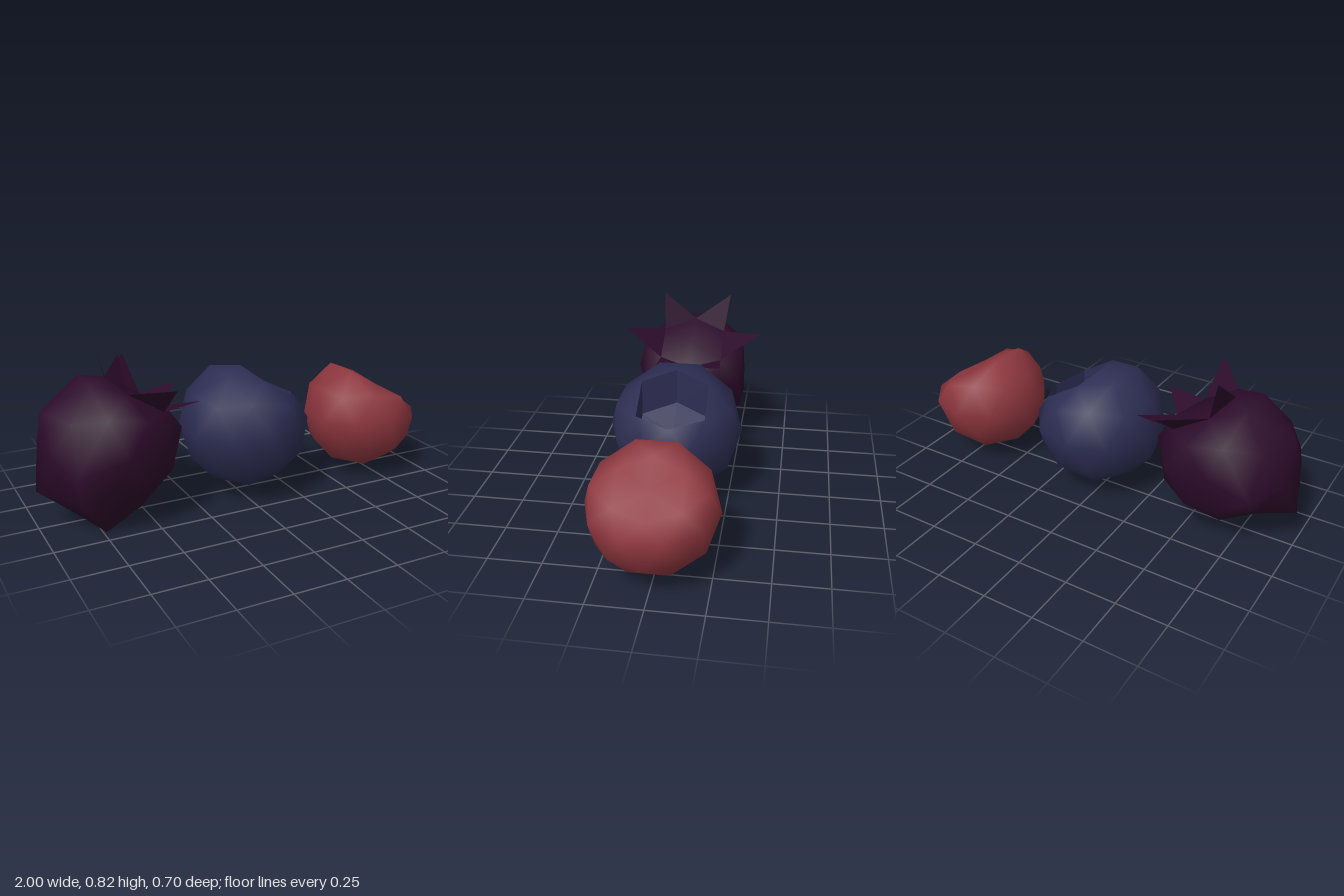
import * as THREE from 'three';
import { mergeVertices } from 'three/addons/utils/BufferGeometryUtils.js';

const RAD = Math.PI / 180;
// unit direction from azimuth (from +x towards +z) and elevation
const dir = (az, el) => new THREE.Vector3(
  Math.cos(az * RAD) * Math.cos(el * RAD), Math.sin(el * RAD), Math.sin(az * RAD) * Math.cos(el * RAD));

// the tilted crown end of every berry: its axis and the six vertices round it
const AXIS = dir(0, 58.28);
const RING = [[0, 90], [72, 58.28], [36, 31.72], [0, 26.57], [-36, 31.72], [-72, 58.28]].map(([a, e]) => dir(a, e));
const same = (a, b) => a.distanceTo(b) < 0.08;

// smooth low-poly sphere; move(direction, point) shifts vertices, open leaves out the crown hexagon
function berryBody(radius, move, open) {
  let geo = new THREE.IcosahedronGeometry(1, 1);
  geo.rotateX(-58.2825 * RAD).rotateY(Math.PI / 2);
  geo.deleteAttribute('normal');
  geo.deleteAttribute('uv');
  geo = mergeVertices(geo, 1e-3);
  const pos = geo.attributes.position;
  let crown = -1;
  for (let i = 0; i < pos.count; i++) {
    const d = new THREE.Vector3().fromBufferAttribute(pos, i).normalize();
    if (same(d, AXIS)) crown = i;
    const p = d.clone().multiplyScalar(radius);
    move(d, p);
    pos.setXYZ(i, p.x, p.y, p.z);
  }
  if (open) {
    const src = Array.from(geo.index.array), kept = [];
    for (let i = 0; i < src.length; i += 3) {
      const t = src.slice(i, i + 3);
      if (!t.includes(crown)) kept.push(...t);
    }
    geo.setIndex(kept);
  }
  geo.computeVertexNormals();
  return geo;
}

// flat-shaded triangles from a list of points
function facets(points) {
  const geo = new THREE.BufferGeometry().setFromPoints(points);
  geo.computeVertexNormals();
  return geo;
}

// hexagonal hollow: upright walls dropping from the rim to a floor
function hollow(rim, depth) {
  const low = rim.map(p => new THREE.Vector3(p.x, p.y - depth, p.z));
  const mid = low.reduce((s, p) => s.add(p), new THREE.Vector3()).divideScalar(6);
  const pts = [];
  rim.forEach((a, i) => {
    const j = (i + 1) % 6;
    pts.push(a, low[j], low[i], a, rim[j], low[j], mid, low[i], low[j]);
  });
  return facets(pts);
}

export function createModel() {
  const group = new THREE.Group();
  const mat = (name, color) => {
    const m = new THREE.MeshStandardMaterial({ color, side: THREE.DoubleSide });
    m.name = name;
    return m;
  };
  const red = mat('red', 0x8d363e);
  const blue = mat('blue', 0x2d2d53);
  const purple = mat('purple', 0x2c0b2a);

  const add = (name, parts, material, x, y, z) => {
    const berry = new THREE.Group();
    berry.name = name;
    for (const [part, geo] of Object.entries(parts)) {
      const mesh = new THREE.Mesh(geo, material);
      mesh.name = part;
      berry.add(mesh);
    }
    berry.position.set(x, y, z);
    group.add(berry);
  };

  // push the crown inwards: its six rim vertices by one amount, its middle by another
  const sink = (d, p, rim, middle) => {
    if (d.angleTo(AXIS) < 0.7) p.addScaledVector(AXIS, same(d, AXIS) ? -middle : -rim);
  };
  const rimOf = (radius, amount) => RING.map(d => d.clone().multiplyScalar(radius).addScaledVector(AXIS, -amount));

  // red berry with a dished end
  add('redBerry', {
    redBody: berryBody(0.292, (d, p) => sink(d, p, 0.085, 0.155), false),
  }, red, 0.72, 0.312, 0.01);

  // blue berry with a hexagonal hollow
  add('blueBerry', {
    blueBody: berryBody(0.321, (d, p) => sink(d, p, 0.042, 0.042), true),
    blueHollow: hollow(rimOf(0.321, 0.042), 0.17),
  }, blue, 0.0385, 0.36, 0.013);

  // purple berry: lumpy body, with the lumps as [azimuth, elevation, new position]
  const centre = new THREE.Vector3(-0.64, 0.39, 0.01);
  const lumps = [
    [180, -26.57, [-1, 0.185, 0]],
    [180, 31.72, [-0.955, 0.555, 0]],
    [162, 0, [-0.957, 0.37, 0.12]],
    [198, 0, [-0.955, 0.37, -0.11]],
    [144, 58.28, [-0.755, 0.672, 0.11]],
    [-144, 58.28, [-0.755, 0.672, -0.09]],
    [144, -31.72, [-0.85, 0.17, 0.21]],
    [180, -58.28, [-0.86, 0.09, 0.08]],
    [108, -58.28, [-0.735, 0, 0.17]],
    [0, -90, [-0.64, 0.028, 0.01]],
    [36, -58.28, [-0.54, 0.065, 0.11]],
    [0, -31.72, [-0.365, 0.165, 0]],
    [18, 0, [-0.333, 0.42, 0.11]],
    [-18, 0, [-0.333, 0.42, -0.09]],
    [126, 0, [-0.89, 0.335, 0.305]],
    [90, 0, [-0.66, 0.39, 0.325]],
    [234, 0, [-0.86, 0.335, -0.25]],
    [270, 0, [-0.66, 0.39, -0.255]],
  ].map(([a, e, p]) => [dir(a, e), new THREE.Vector3(...p).sub(centre)]);

  // crown of six spikes, one on each side of the rim
  const rim = rimOf(0.318, 0.037);
  const tips = [[-0.65, 0.82, 0.178], [-0.45, 0.675, 0.35], [-0.26, 0.55, 0.165]];
  const spikes = [];
  for (let i = 0; i < 6; i++) {
    const [x, y, z] = tips[i < 3 ? i : 5 - i];
    const tip = new THREE.Vector3(x, y, i < 3 ? z : -z).sub(centre);
    spikes.push(rim[i], rim[(i + 1) % 6], tip);
  }
  add('purpleBerry', {
    purpleBody: berryBody(0.318, (d, p) => {
      sink(d, p, 0.037, 0.1);
      for (const [from, to] of lumps) if (same(d, from)) p.copy(to);
    }, false),
    crownSpikes: facets(spikes),
  }, purple, centre.x, centre.y, centre.z);

  return group;
}
